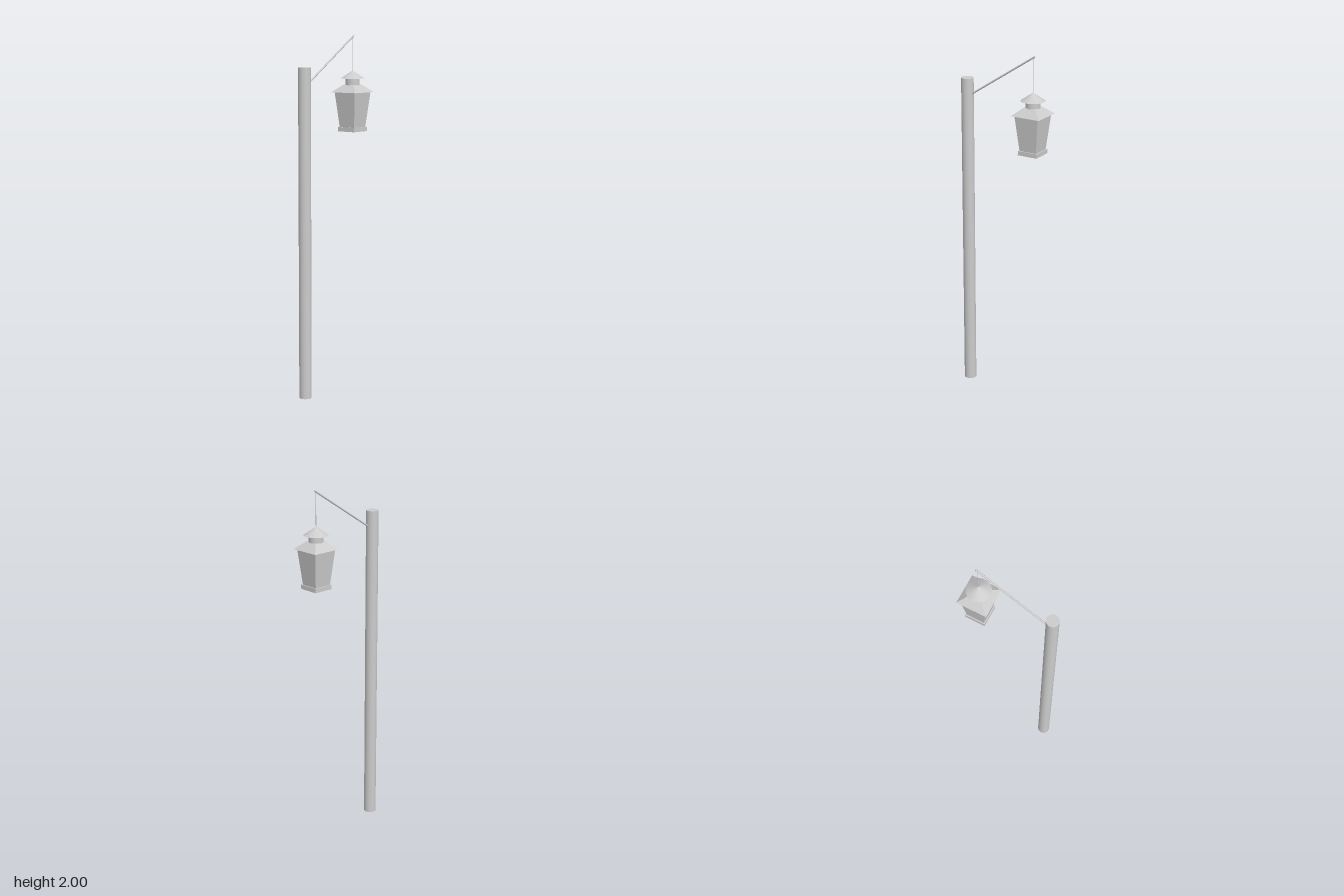
import * as THREE from 'three';

export function createModel() {
  const model = new THREE.Group();
  const smooth = new THREE.MeshStandardMaterial({ color: 0xcccccc });
  const flat = new THREE.MeshStandardMaterial({ color: 0xcccccc, flatShading: true });

  const add = (parent, name, geometry, material) => {
    const mesh = new THREE.Mesh(geometry, material);
    mesh.name = name;
    parent.add(mesh);
    return mesh;
  };

  // Upright cylinder or cone between two heights
  const round = (parent, name, rTop, rBottom, y0, y1, sides = 32) => {
    const mesh = add(parent, name, new THREE.CylinderGeometry(rTop, rBottom, y1 - y0, sides), smooth);
    mesh.position.y = (y0 + y1) / 2;
    return mesh;
  };

  // Square frustum given by half widths, sides facing the axes
  const square = (parent, name, top, bottom, y0, y1) => {
    const geometry = new THREE.CylinderGeometry(top * Math.SQRT2, bottom * Math.SQRT2, y1 - y0, 4);
    geometry.rotateY(Math.PI / 4);
    const mesh = add(parent, name, geometry, flat);
    mesh.position.y = (y0 + y1) / 2;
    return mesh;
  };

  // Straight rod between two points
  const rod = (parent, name, a, b, radius, sides) => {
    const dir = b.clone().sub(a);
    const mesh = add(parent, name, new THREE.CylinderGeometry(radius, radius, dir.length(), sides), smooth);
    mesh.position.copy(a).add(b).multiplyScalar(0.5);
    mesh.quaternion.setFromUnitVectors(new THREE.Vector3(0, 1, 0), dir.normalize());
    return mesh;
  };

  // Post and slanted arm
  round(model, 'pole', 0.0345, 0.0345, 0, 1.828).position.x = -0.235;
  rod(model, 'arm', new THREE.Vector3(-0.21, 1.738, 0), new THREE.Vector3(0.192, 1.996, 0), 0.005, 16);

  // Hanging lantern
  const lantern = new THREE.Group();
  lantern.name = 'lantern';
  lantern.position.x = 0.183;
  model.add(lantern);
  round(lantern, 'hangingWire', 0.0015, 0.0015, 1.795, 1.99, 8);
  round(lantern, 'cap', 0, 0.067, 1.757, 1.802, 48);
  round(lantern, 'neck', 0.04, 0.04, 1.715, 1.758);
  square(lantern, 'roof', 0.037, 0.086, 1.68, 1.722);
  square(lantern, 'glassBody', 0.072, 0.051, 1.48, 1.682);
  square(lantern, 'base', 0.058, 0.058, 1.46, 1.484);

  return model;
}
